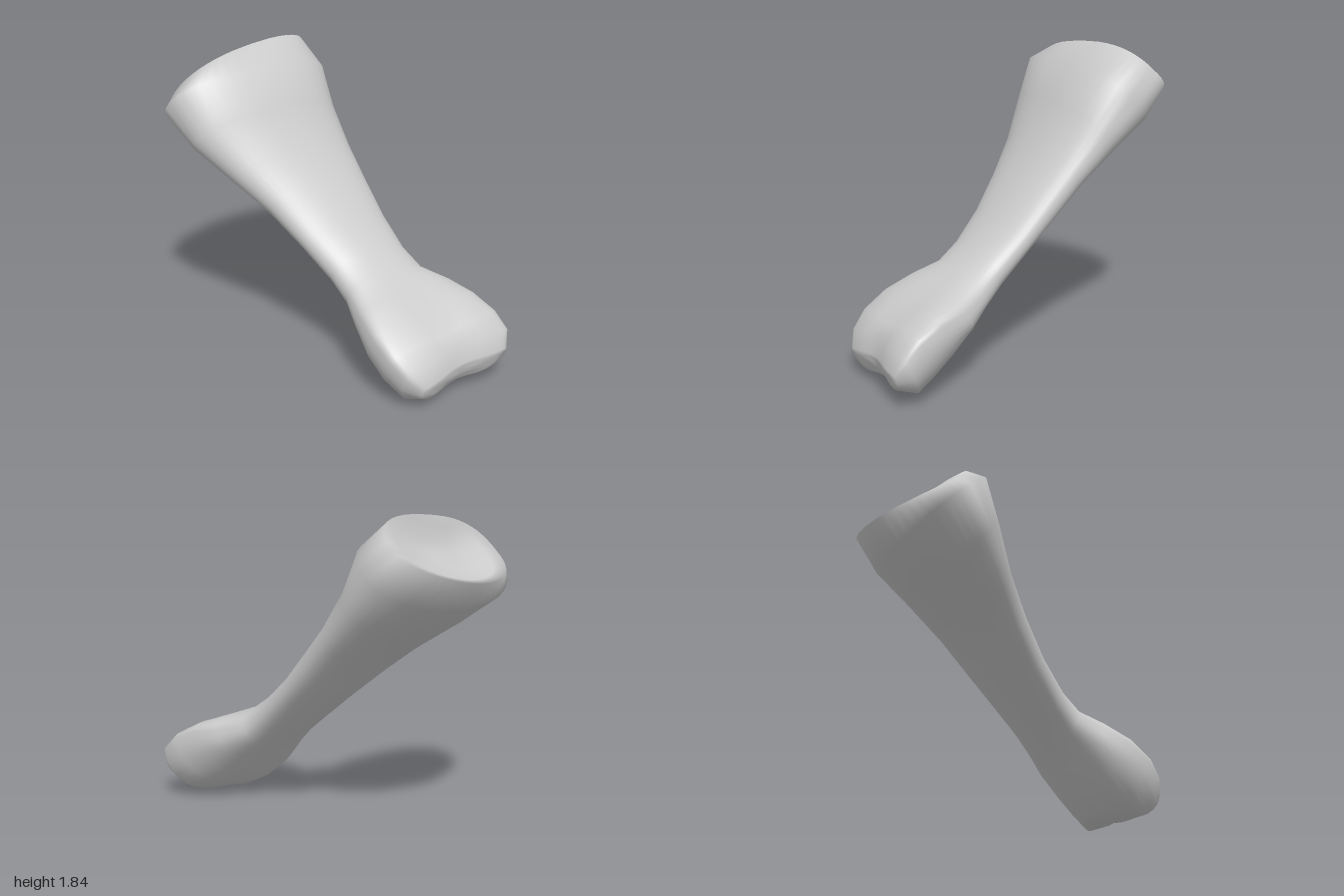
import * as THREE from 'three';

const SIDES = 40;

// Cross-sections down the bone: under point (x, y), upper point (x, y), zMin, zMax,
// squareness of the upper half and of the under half
const SECTIONS = [
  [-1.00, 1.49, -0.61, 1.84, -0.39, 0.57, 3.0, 1.9],
  [-0.87, 1.33, -0.44, 1.73, -0.44, 0.67, 2.6, 2.0],
  [-0.62, 1.17, -0.33, 1.51, -0.42, 0.59, 2.2, 2.1],
  [-0.36, 1.00, -0.20, 1.28, -0.41, 0.43, 2.2, 2.2],
  [-0.20, 0.86, -0.03, 1.08, -0.41, 0.30, 2.2, 2.2],
  [0.00, 0.69, 0.13, 0.89, -0.415, 0.20, 2.2, 2.2],
  [0.20, 0.51, 0.30, 0.74, -0.43, 0.12, 2.2, 2.2],
  [0.32, 0.41, 0.43, 0.64, -0.47, 0.10, 2.4, 2.3],
  [0.44, 0.30, 0.58, 0.58, -0.56, 0.14, 3.0, 2.3],
  [0.56, 0.17, 0.74, 0.51, -0.61, 0.17, 3.2, 2.3],
  [0.68, 0.08, 0.88, 0.42, -0.65, 0.16, 3.0, 2.4],
  [0.81, 0.01, 0.97, 0.33, -0.67, 0.11, 2.8, 2.5],
  [0.95, 0.07, 1.00, 0.22, -0.62, 0.03, 2.6, 2.6],
];
const AXIS = new THREE.Vector3(0.75, -0.66, 0);

// One closed ring, optionally shrunk and slid along the bone
function ring(section, scale = 1, slide = 0) {
  const [xl, yl, xu, yu, z0, z1, upperPower, underPower] = section;
  const index = SECTIONS.indexOf(section);
  const foot = THREE.MathUtils.smoothstep(index, 7, 10);
  const zc = (z0 + z1) / 2;
  const points = [];
  for (let j = 0; j < SIDES; j++) {
    const a = (j / SIDES) * Math.PI * 2;
    const power = j < SIDES / 2 ? upperPower : underPower;
    const round = (v) => Math.sign(v) * Math.pow(Math.abs(v), 2 / power) * scale;
    const c = round(Math.cos(a));
    let s = round(Math.sin(a));
    // the knuckles are widest near their upper face
    s += 0.4 * foot * c * c * (1 - s * s);
    const p = new THREE.Vector3(
      (xl + xu) / 2 + (s * (xu - xl)) / 2,
      (yl + yu) / 2 + (s * (yu - yl)) / 2,
      zc + (c * (z1 - z0)) / 2
    );
    let along = slide;
    // the front of the upper rim sits lower, the back higher
    if (index === 0) along += 0.04 * c * c + 0.07 * c;
    // twin knuckles: tilt, faint trough and end notch
    const groove = foot * Math.exp(-(((p.z + 0.28) / 0.16) ** 2));
    p.y -= foot * 0.1 * (p.z - zc);
    if (s > 0) p.y -= 0.025 * groove * s;
    if (index >= 11) along -= 0.045 * groove;
    points.push(p.addScaledVector(AXIS, along));
  }
  return points;
}

// Skin the rings and close both ends
function loft(rings) {
  const positions = [];
  const indices = [];
  rings.forEach((r) => r.forEach((p) => positions.push(p.x, p.y, p.z)));
  for (let i = 0; i < rings.length - 1; i++) {
    for (let j = 0; j < SIDES; j++) {
      const k = (j + 1) % SIDES;
      const a = i * SIDES + j, b = i * SIDES + k;
      const c = a + SIDES, d = b + SIDES;
      indices.push(a, c, b, b, c, d);
    }
  }
  [0, rings.length - 1].forEach((i) => {
    const centre = new THREE.Vector3();
    rings[i].forEach((p) => centre.addScaledVector(p, 1 / SIDES));
    const hub = positions.length / 3;
    positions.push(centre.x, centre.y, centre.z);
    for (let j = 0; j < SIDES; j++) {
      const a = i * SIDES + j, b = i * SIDES + ((j + 1) % SIDES);
      if (i === 0) indices.push(hub, a, b);
      else indices.push(hub, b, a);
    }
  });
  const geometry = new THREE.BufferGeometry();
  geometry.setAttribute('position', new THREE.Float32BufferAttribute(positions, 3));
  geometry.setIndex(indices);
  geometry.computeVertexNormals();
  return geometry;
}

export function createModel() {
  const group = new THREE.Group();
  group.name = 'legBone';
  const top = SECTIONS[0];
  const end = SECTIONS[SECTIONS.length - 1];
  const rings = [
    // shallow joint socket
    ring(top, 0.2, 0.09), ring(top, 0.5, 0.08), ring(top, 0.8, 0.03),
    // shaft and knuckles
    ...SECTIONS.map((s) => ring(s)),
    // rounded lower end
    ring(end, 0.75, 0.008), ring(end, 0.4, 0.01),
  ];
  const bone = new THREE.Mesh(loft(rings), new THREE.MeshStandardMaterial({ color: 0xcccccc }));
  bone.name = 'bone';
  group.add(bone);
  return group;
}
